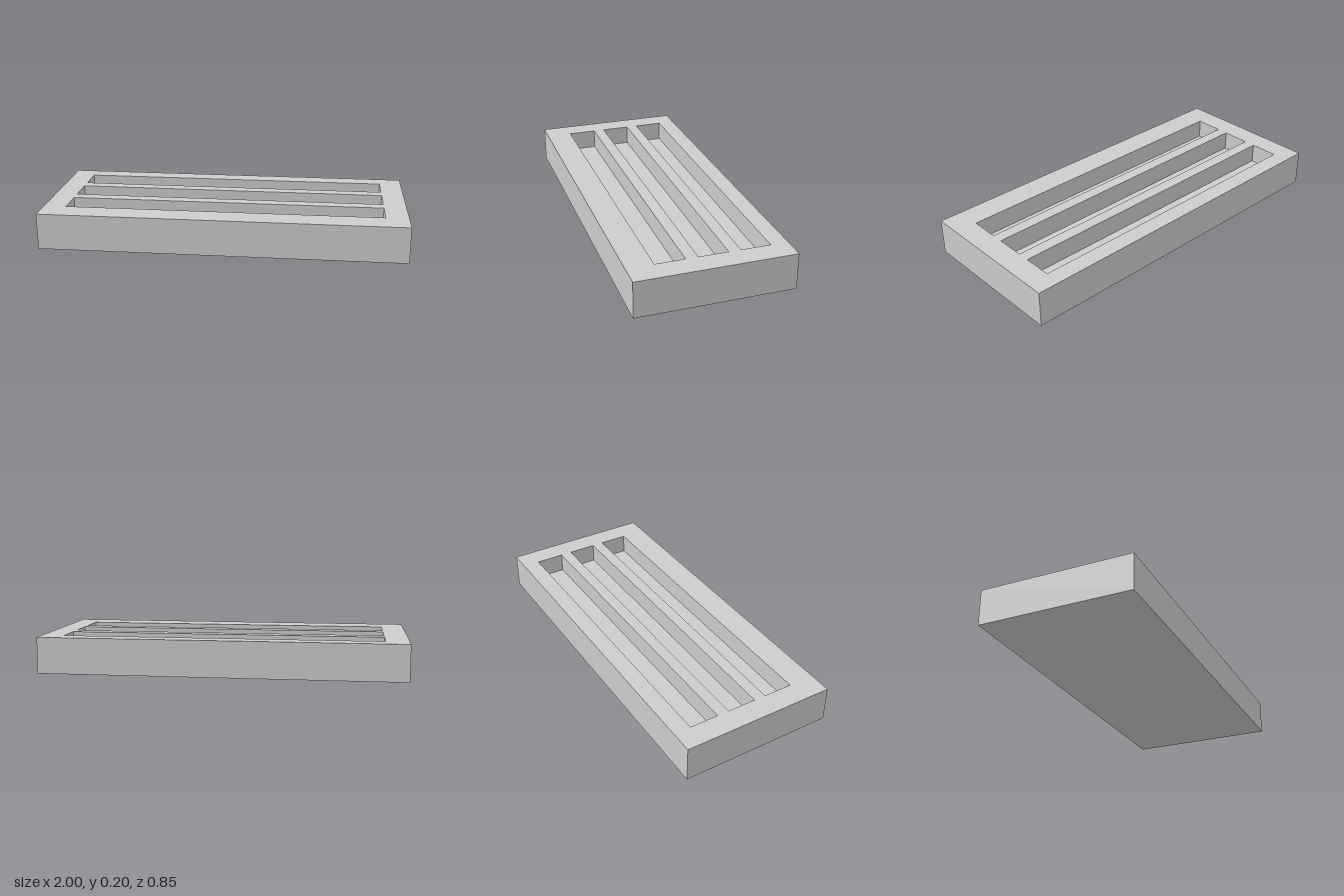
import * as THREE from 'three';

const LENGTH = 2, DEPTH = 0.85, HEIGHT = 0.2, FLOOR = 0.09;
const SLOT_LENGTH = 1.75, SLOT_WIDTH = 0.16;
const SLOT_CENTRES = [-0.25, -0.025, 0.2];

// Rectangle centred on x = 0 and the given z; y of the shape becomes -z once laid flat
function trace(path, length, width, z) {
  const x = length / 2, y = width / 2;
  path.moveTo(-x, -z - y);
  path.lineTo(x, -z - y);
  path.lineTo(x, -z + y);
  path.lineTo(-x, -z + y);
  path.closePath();
  return path;
}

export function createModel() {
  const model = new THREE.Group();
  model.name = 'slottedTray';
  const grey = new THREE.MeshStandardMaterial({ color: 0xcccccc });
  grey.name = 'plain grey';

  // Block pierced by three long slots
  const outline = trace(new THREE.Shape(), LENGTH, DEPTH, 0);
  for (const z of SLOT_CENTRES) {
    outline.holes.push(trace(new THREE.Path(), SLOT_LENGTH, SLOT_WIDTH, z));
  }
  const blockGeometry = new THREE.ExtrudeGeometry(outline, { depth: HEIGHT, bevelEnabled: false });
  blockGeometry.rotateX(-Math.PI / 2);
  const block = new THREE.Mesh(blockGeometry, grey);
  block.name = 'slottedBlock';
  model.add(block);

  // Floors closing the slots flush with the underside
  const floorGeometry = new THREE.BoxGeometry(SLOT_LENGTH, FLOOR, SLOT_WIDTH);
  for (const z of SLOT_CENTRES) {
    const floor = new THREE.Mesh(floorGeometry, grey);
    floor.name = 'slotFloor';
    floor.position.set(0, FLOOR / 2, z);
    model.add(floor);
  }

  return model;
}
